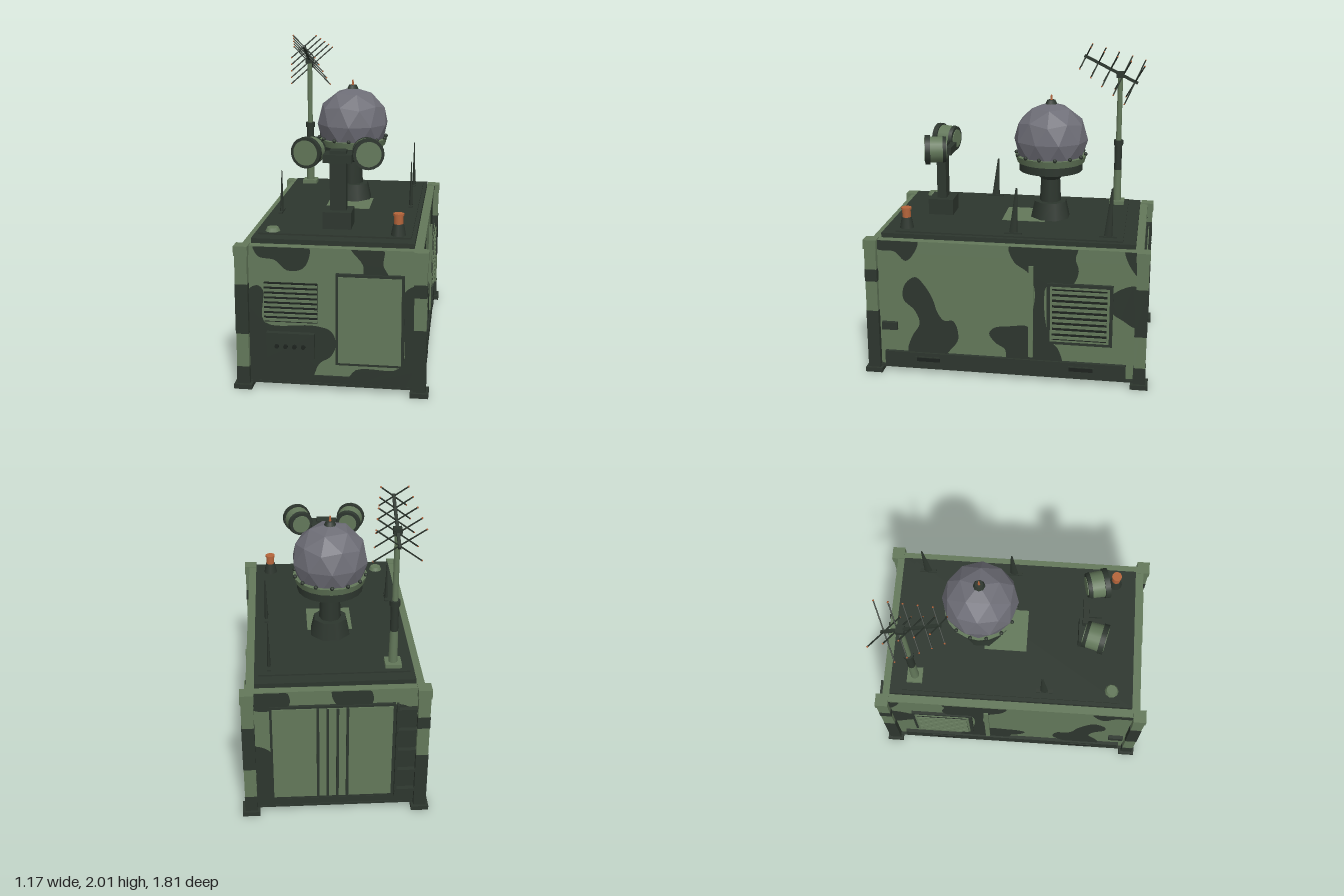
import * as THREE from 'three';

const mat = (name, color, extra = {}) => Object.assign(new THREE.MeshStandardMaterial({ color, ...extra }), { name });
const green = mat('light green', 0x63785a);
const dark = mat('dark green', 0x2d362e);
const black = mat('near black', 0x1d231f);
const grey = mat('radome grey', 0x6d6d76, { flatShading: true });
const orange = mat('beacon orange', 0xb4643a);

function add(parent, name, geo, material, x = 0, y = 0, z = 0) {
  const m = new THREE.Mesh(geo, material);
  m.name = name;
  m.position.set(x, y, z);
  parent.add(m);
  return m;
}
// Box given by its lower and upper limits on each axis
function box(parent, name, material, x0, x1, y0, y1, z0, z1) {
  return add(parent, name, new THREE.BoxGeometry(x1 - x0, y1 - y0, z1 - z0), material,
    (x0 + x1) / 2, (y0 + y1) / 2, (z0 + z1) / 2);
}
function cyl(parent, name, material, rTop, rBot, y0, y1, x, z, n = 12) {
  return add(parent, name, new THREE.CylinderGeometry(rTop, rBot, y1 - y0, n), material, x, (y0 + y1) / 2, z);
}
function group(parent, name) {
  const g = new THREE.Group();
  g.name = name;
  parent.add(g);
  return g;
}
// Rounded camouflage patch, clipped to the wall
function camo(parent, pts, z, halfW, flip = 1) {
  const curve = new THREE.CatmullRomCurve3(pts.map(([u, v]) => new THREE.Vector3(u * flip, v, 0)), true, 'centripetal');
  const outline = curve.getPoints(pts.length * 5).slice(0, -1).map(p => new THREE.Vector2(
    THREE.MathUtils.clamp(p.x, -halfW, halfW), THREE.MathUtils.clamp(p.y, 0.04, 0.889)));
  add(parent, 'camouflagePatch', new THREE.ShapeGeometry(new THREE.Shape(outline)), dark, 0, 0, z);
}
// Horizontal slats over a dark recess
function louvre(parent, u0, u1, v0, v1, z, n) {
  box(parent, 'ventRecess', black, u0, u1, v0, v1, z - 0.01, z + 0.004);
  const step = (v1 - v0) / n;
  for (let i = 0; i < n; i++) {
    const v = v0 + (i + 0.5) * step;
    box(parent, 'ventSlat', green, u0, u1, v - step * 0.24, v + step * 0.24, z, z + 0.012);
  }
}

const sideCamo = [
  [[.64, .6], [.57, .655], [.51, .6], [.46, .51], [.43, .42], [.39, .37], [.33, .37], [.3, .25], [.36, .16], [.42, .1], [.6, .1], [.63, .15], [.6, .25], [.55, .34], [.58, .43], [.65, .5]],
  [[.81, .9], [.55, .9], [.57, .82], [.63, .76], [.7, .82], [.81, .83]],
  [[.1, .3], [.07, .34], [-.04, .36], [-.15, .36], [-.16, .12], [-.02, .12], [0, .2], [.06, .24]],
  [[-.03, .9], [-.06, .79], [-.15, .72], [-.19, .6], [-.17, .4], [-.18, .12], [-.36, .12], [-.34, .22], [-.28, .3], [-.27, .66], [-.42, .66], [-.46, .75], [-.44, .83], [-.45, .9]],
  [[-.66, .6], [-.82, .67], [-.82, .4], [-.74, .44], [-.66, .5]],
  [[-.74, .9], [-.82, .9], [-.82, .74], [-.77, .8]],
];
const frontCamo = [
  [[-.46, .9], [-.13, .9], [-.13, .82], [-.17, .76], [-.26, .75], [-.33, .81], [-.43, .83]],
  [[-.51, .6], [-.44, .65], [-.405, .62], [-.4, .42], [-.1, .41], [0, .38], [.03, .3], [0, .22], [-.07, .17], [-.14, .04], [-.51, .04]],
  [[.12, .9], [.31, .9], [.31, .8], [.34, .73], [.2, .73], [.19, .8]],
  [[.42, .62], [.51, .68], [.51, .04], [.1, .04], [.15, .14], [.42, .17]],
];
const backCamo = [
  [[-.5, .9], [-.3, .9], [-.28, .8], [-.4, .76], [-.51, .78]],
  [[-.02, .9], [.2, .9], [.22, .8], [.1, .75], [0, .8]],
  [[.36, .78], [.51, .7], [.51, .04], [.3, .04], [.36, .3]],
  [[-.51, .5], [-.39, .45], [-.38, .15], [-.2, .04], [-.51, .04]],
];

function buildShell(root) {
  const shell = group(root, 'shelter');
  box(shell, 'walls', green, -.53, .53, .04, .885, -.845, .845);
  box(shell, 'floor', dark, -.55, .55, .03, .045, -.86, .86);
  box(shell, 'roofPlate', dark, -.485, .485, .88, .92, -.8, .795);
  box(shell, 'roofPanel', dark, -.46, .46, .92, .93, -.72, .71);
  box(shell, 'roofPaintedSquare', green, -.145, .145, .927, .933, -.2, .08);
  for (const s of [-1, 1]) {
    box(shell, 'topSideRail', green, s * .51 - .027, s * .51 + .027, .81, .89, -.81, .81);
    box(shell, 'topEndRail', green, -.49, .49, .81, .89, s * .82 - .03, s * .82 + .03);
    box(shell, 'bottomEndRail', dark, -.49, .49, .035, .09, s * .82 - .035, s * .82 + .035);
    for (const t of [-1, 1]) {
      const corner = group(shell, 'cornerPost');
      corner.position.set(s * .53, 0, t * .85);
      box(corner, 'foot', dark, -.055, .055, 0, .03, -.055, .055);
      box(corner, 'post', green, -.037, .037, .03, .84, -.037, .037);
      box(corner, 'cornerFitting', green, -.042, .042, .835, .895, -.042, .042);
      // Painted bands on the posts
      const bands = s === t ? [[.03, .42], [.62, .7]] : [[.03, .14], [.35, .66]];
      for (const [a, b] of bands) box(corner, 'postCamouflage', dark, -.039, .039, a, b, -.039, .039);
    }
  }
}

// Both long walls; local +z points outwards
function buildSide(root, s) {
  const side = group(root, s > 0 ? 'leftWall' : 'rightWall');
  side.rotation.y = s * Math.PI / 2;
  const b = (name, m, zA, zB, y0, y1, d0, d1) =>
    box(side, name, m, Math.min(-s * zA, -s * zB), Math.max(-s * zA, -s * zB), y0, y1, d0, d1);
  sideCamo.forEach(p => camo(side, p, .541, .812, -s));
  b('skirt', dark, .78, -.765, .04, .14, .5, .553);
  for (const z of [.495, -.485]) {
    b('forkPocketFrame', dark, z + .085, z - .085, .078, .115, .55, .558);
    b('forkPocket', black, z + .075, z - .075, .084, .109, .55, .56);
  }
  b('wallStrip', green, -.15, -.18, .16, .77, .53, .552);
  b('smallHatch', dark, .795, .695, .29, .34, .53, .555);
  b('ventFrame', dark, -.265, -.675, .26, .665, .53, .55);
  b('ventBorder', green, -.287, -.655, .28, .645, .54, .555);
  louvre(side, Math.min(s * .3, s * .64), Math.max(s * .3, s * .64), .293, .632, .553, 9);
}

function buildFront(root) {
  const front = group(root, 'frontWall');
  frontCamo.forEach(p => camo(front, p, .858, .492));
  louvre(front, -.4, -.08, .425, .67, .856, 8);
  box(front, 'controlBox', dark, -.385, -.095, .205, .365, .84, .89);
  for (let i = 0; i < 4; i++) {
    const knob = cyl(front, 'knob', black, .013, .013, -.008, .008, 0, 0, 10);
    knob.position.set(-.32 + i * .053, .285, .896);
    knob.rotation.x = Math.PI / 2;
  }
  box(front, 'doorFrame', dark, .03, .435, .17, .74, .84, .867);
  box(front, 'doorPanel', green, .046, .419, .186, .724, .85, .873);
}

function buildBack(root) {
  const back = group(root, 'backWall');
  back.rotation.y = Math.PI;
  backCamo.forEach(p => camo(back, p, .858, .492));
  box(back, 'rearDoorFrame', dark, -.4, .36, .1, .79, .84, .864);
  box(back, 'rearDoor', green, -.385, .345, .115, .775, .85, .87);
  for (const u of [-.11, -.05, .01, .07]) box(back, 'doorRib', dark, u - .008, u + .008, .115, .775, .86, .88);
  for (let i = 0; i < 5; i++) box(back, 'ladderRung', dark, .37, .49, .14 + i * .15, .16 + i * .15, .85, .888);
  box(back, 'ladderRail', dark, .365, .38, .1, .79, .85, .885);
}

function buildRadome(root) {
  const r = group(root, 'radome');
  r.position.z = -.22;
  cyl(r, 'pedestalBase', dark, .108, .135, .92, 1.04, 0, 0, 8).rotation.y = Math.PI / 8;
  cyl(r, 'pedestalColumn', dark, .062, .07, 1.04, 1.2, 0, 0, 8);
  cyl(r, 'pedestalFlare', dark, .13, .062, 1.19, 1.26, 0, 0, 12);
  cyl(r, 'turntable', dark, .207, .207, 1.25, 1.31, 0, 0, 20);
  cyl(r, 'mountingRing', green, .232, .218, 1.305, 1.35, 0, 0, 20);
  const dome = new THREE.IcosahedronGeometry(.24, 1).rotateZ(-Math.atan(2 / (1 + Math.sqrt(5))));
  add(r, 'dome', dome, grey, 0, 1.45, 0);
  for (let i = 0; i < 14; i++) {
    const a = i / 14 * Math.PI * 2;
    add(r, 'ringBolt', new THREE.SphereGeometry(.013, 8, 6), dark, Math.sin(a) * .226, 1.357, Math.cos(a) * .226);
  }
  cyl(r, 'domeCap', dark, .026, .038, 1.68, 1.705, 0, 0, 8);
  cyl(r, 'domeSpike', orange, .004, .009, 1.7, 1.74, 0, 0, 8);
}

function buildSearchlights(root) {
  const g = group(root, 'searchlights');
  g.position.z = .5;
  box(g, 'lightBase', dark, -.087, .087, .92, 1.035, -.082, .082);
  box(g, 'lightPost', dark, -.05, .05, 1.03, 1.34, -.03, .03);
  box(g, 'lightHead', dark, -.087, .087, 1.335, 1.385, -.075, .065);
  box(g, 'lightHeadCap', dark, -.05, .05, 1.38, 1.405, -.04, .04);
  for (const s of [-1, 1]) {
    const lamp = group(g, 'lamp');
    lamp.position.set(s * .175, 1.395, .005);
    lamp.rotation.set(Math.PI / 2, 0, -s * .24);
    cyl(lamp, 'lampBarrel', green, .085, .08, -.06, .05, 0, 0, 20);
    cyl(lamp, 'lampRim', dark, .095, .095, .035, .068, 0, 0, 20);
    cyl(lamp, 'lampLens', green, .077, .077, .06, .071, 0, 0, 20);
    cyl(lamp, 'lampRearRim', dark, .086, .08, -.068, -.045, 0, 0, 20);
    cyl(lamp, 'lampRearCover', green, .06, .06, -.073, -.06, 0, 0, 20);
  }
}

function buildMast(root) {
  const g = group(root, 'antennaMast');
  g.position.set(-.36, 0, -.64);
  box(g, 'mastFoot', green, -.05, .05, .92, .955, -.05, .05);
  cyl(g, 'lowerMast', green, .025, .028, .95, 1.17, 0, 0);
  cyl(g, 'middleMast', dark, .025, .025, 1.17, 1.35, 0, 0);
  cyl(g, 'mastCollar', dark, .032, .032, 1.34, 1.375, 0, 0);
  cyl(g, 'upperMast', green, .017, .018, 1.37, 1.81, 0, 0);
  box(g, 'mastHead', dark, -.025, .025, 1.8, 1.84, -.025, .025);
  // Crossed rods along a sloping boom, longer towards the back
  const yagi = group(g, 'directionalAntenna');
  yagi.position.set(0, 1.853, .063);
  yagi.rotation.x = -.46;
  box(yagi, 'boom', dark, -.009, .009, -.009, .009, -.2, .2);
  for (let i = 0; i < 5; i++) {
    const half = (.14 - i * .015) * Math.SQRT2;
    for (const s of [-1, 1]) {
      const rod = group(yagi, 'crossRod');
      rod.position.z = -.18 + i * .092;
      rod.rotation.z = s * Math.PI / 4;
      cyl(rod, 'rod', dark, .0045, .0045, -half, half, 0, 0, 6);
      for (const e of [-1, 1]) add(rod, 'rodTip', new THREE.SphereGeometry(.006, 6, 4), orange, 0, e * half, 0);
    }
  }
}

function buildRoofDetails(root) {
  const g = group(root, 'roofFittings');
  // Leaning blade antennas: x, z, tip height
  for (const [x, z, top] of [[-.41, .215, 1.2], [.41, -.035, 1.225], [.395, -.625, 1.245]]) {
    box(g, 'bladeFoot', dark, x - .012, x + .012, .925, .94, z - .055, z + .055);
    const blade = new THREE.CylinderGeometry(.2, 1, top - .93, 8).scale(.012, 1, .027);
    const p = blade.attributes.position;
    for (let i = 0; i < p.count; i++) if (p.getY(i) > 0) p.setZ(i, p.getZ(i) - .02);
    blade.computeVertexNormals();
    add(g, 'bladeAntenna', blade, dark, x, (top + .93) / 2, z);
  }
  cyl(g, 'beaconBase', dark, .032, .047, .92, 1, .38, .655, 12);
  cyl(g, 'beaconLamp', orange, .027, .028, 1, 1.055, .38, .655, 14);
  cyl(g, 'beaconCap', orange, .033, .033, 1.05, 1.063, .38, .655, 14);
  cyl(g, 'roofVent', green, .035, .05, .92, .953, -.38, .655, 10);
}

export function createModel() {
  const root = new THREE.Group();
  root.name = 'radarShelter';
  buildShell(root);
  buildSide(root, 1);
  buildSide(root, -1);
  buildFront(root);
  buildBack(root);
  buildRadome(root);
  buildSearchlights(root);
  buildMast(root);
  buildRoofDetails(root);
  return root;
}
